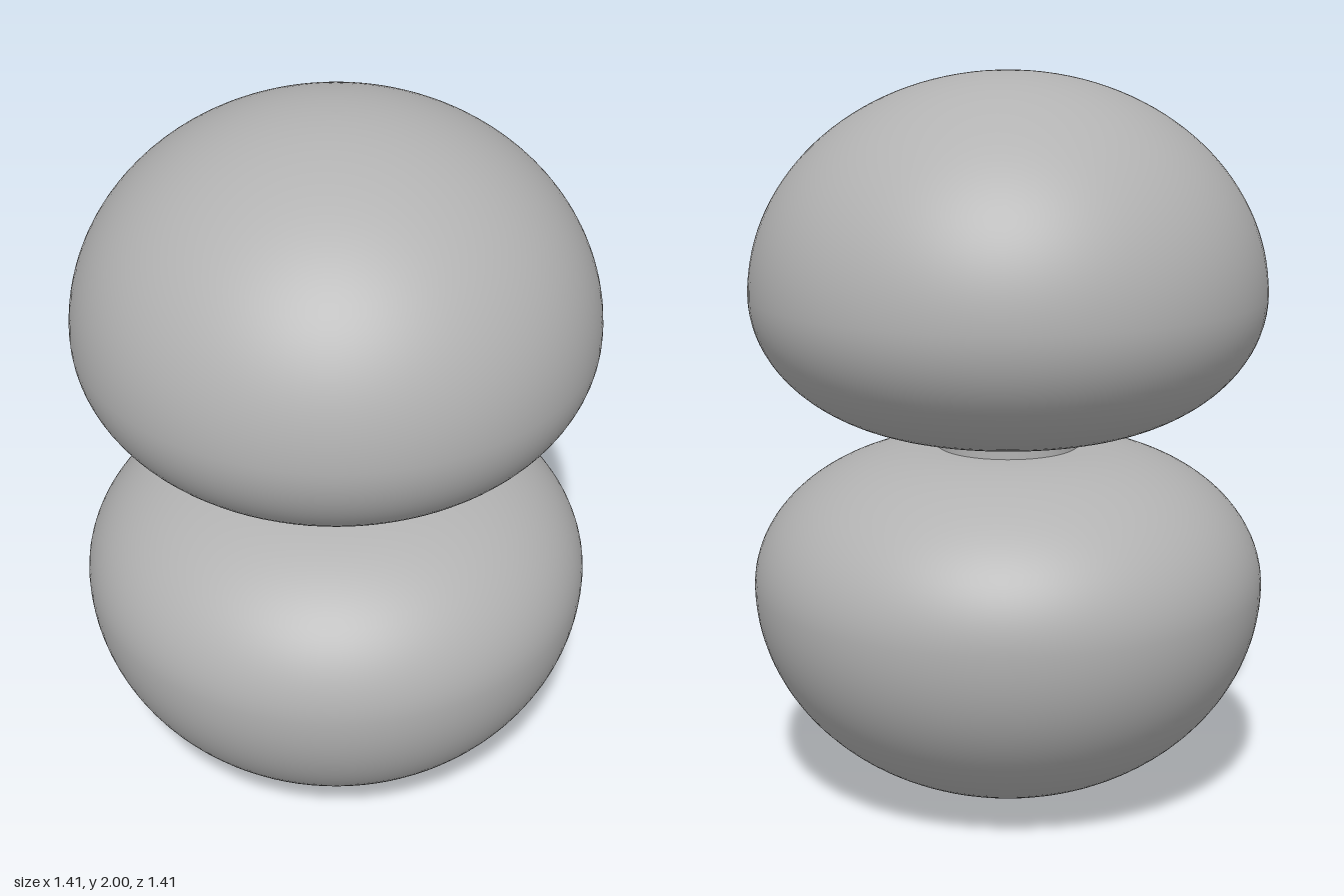
import * as THREE from 'three';

export function createModel() {
  const model = new THREE.Group();
  const grey = new THREE.MeshStandardMaterial({ color: 0xb2b2b2 });
  grey.name = 'plain grey';

  const R = 0.705, neckR = 0.195, gap = 0.02, widest = 0.405;

  // Half profile of the upper lobe, relative to the waist: flat base, rounded underside, elliptical dome
  const profile = [new THREE.Vector2(0, gap)];
  for (let i = 0; i <= 24; i++) {
    const a = (i / 24) * Math.PI / 2;
    profile.push(new THREE.Vector2(
      neckR + (R - neckR) * Math.sin(a),
      widest - (widest - gap) * Math.cos(a)));
  }
  for (let i = 1; i <= 32; i++) {
    const a = (i / 32) * Math.PI / 2;
    profile.push(new THREE.Vector2(
      i === 32 ? 0 : R * Math.cos(a),
      widest + (1 - widest) * Math.sin(a)));
  }

  // Two mirrored lobes
  const lobeGeometry = new THREE.LatheGeometry(profile, 96);
  for (const [name, turn] of [['upperLobe', 0], ['lowerLobe', Math.PI]]) {
    const lobe = new THREE.Mesh(lobeGeometry, grey);
    lobe.name = name;
    lobe.position.y = 1;
    lobe.rotation.x = turn;
    model.add(lobe);
  }

  // Short neck joining the lobes
  const neck = new THREE.Mesh(
    new THREE.CylinderGeometry(neckR, neckR, gap * 2, 64, 1, true), grey);
  neck.name = 'neck';
  neck.position.y = 1;
  model.add(neck);

  return model;
}
